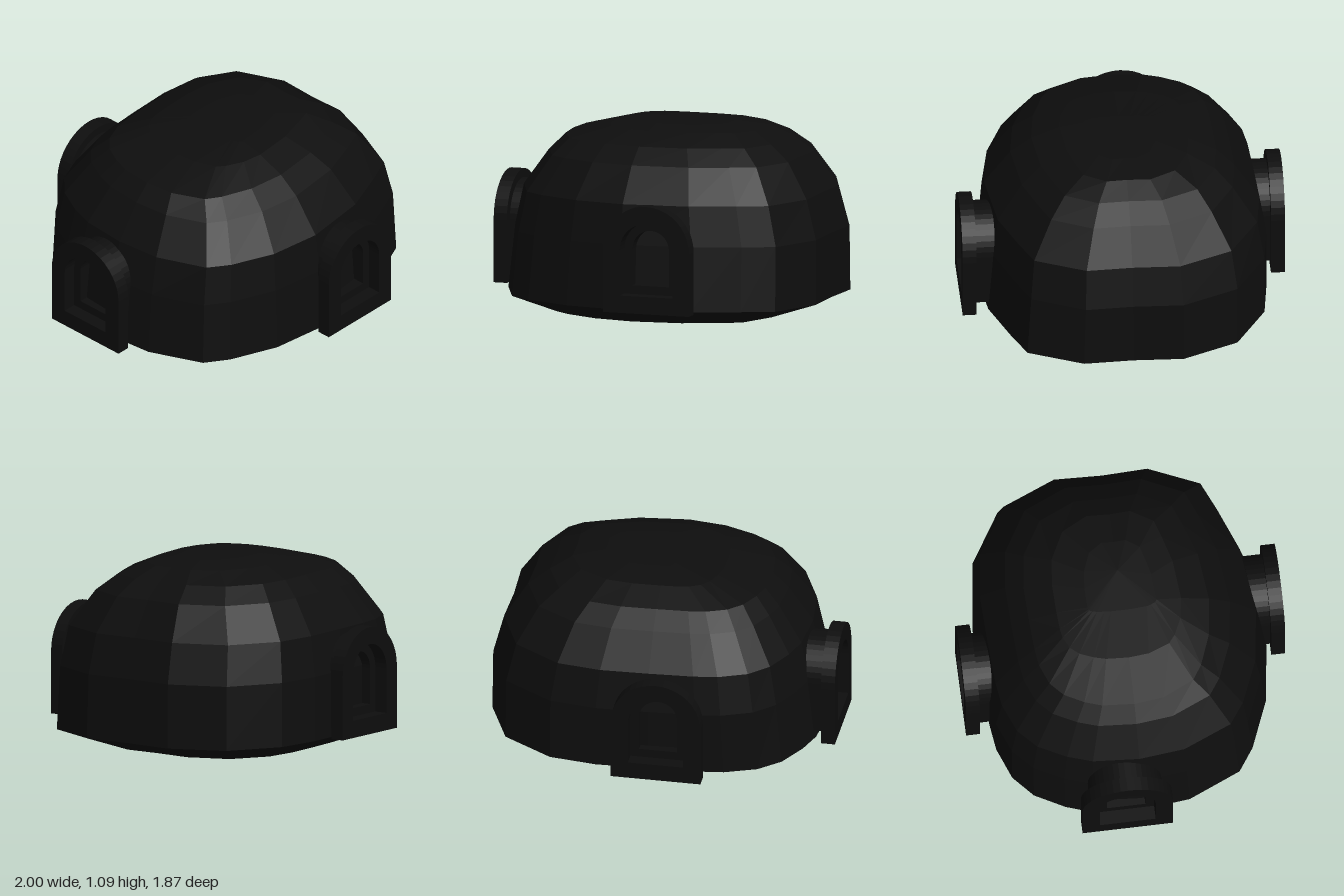
import * as THREE from 'three';

// Plan outline of the dome, anticlockwise seen from above: [x, z]
const OUTLINE = [
  [0.995, -0.29], [0.86, -0.61], [0.57, -0.79], [0.3, -0.825], [0, -0.815], [-0.28, -0.8],
  [-0.43, -0.78], [-0.61, -0.71], [-0.73, -0.6], [-0.82, -0.43], [-0.87, -0.28], [-0.89, 0],
  [-0.86, 0.28], [-0.73, 0.58], [-0.6, 0.67], [-0.33, 0.78], [0, 0.825], [0.41, 0.775],
  [0.68, 0.67], [0.86, 0.59], [0.995, 0.28], [0.985, 0],
];

// Dome levels: [y, -x extent, +x extent, -z extent, +z extent]
const LEVELS = [
  [0, 0.63, 0.7, 0.6, 0.62],
  [0.1, 0.9, 0.995, 0.82, 0.83],
  [0.47, 0.86, 0.99, 0.82, 0.8],
  [0.7, 0.81, 0.93, 0.78, 0.77],
  [0.9, 0.67, 0.8, 0.64, 0.62],
  [0.99, 0.58, 0.68, 0.54, 0.5],
  [1.055, 0.32, 0.56, 0.38, 0.34],
  [1.08, 0.04, 0.38, 0.2, 0.2],
];

function domeGeometry() {
  const n = OUTLINE.length;
  const pos = [];
  const index = [];
  for (const [y, xn, xp, zn, zp] of LEVELS) {
    for (const [x, z] of OUTLINE) {
      pos.push(x > 0 ? (x / 0.995) * xp : (x / 0.89) * xn, y, z > 0 ? (z / 0.825) * zp : (z / 0.825) * zn);
    }
  }
  for (let i = 0; i < LEVELS.length - 1; i++) {
    for (let j = 0; j < n; j++) {
      const a = i * n + j, b = i * n + ((j + 1) % n);
      index.push(a, b, b + n, a, b + n, a + n);
    }
  }
  // Floor and crown fans
  const floor = pos.length / 3, crown = floor + 1, last = (LEVELS.length - 1) * n;
  pos.push(0.03, 0, 0, 0.2, 1.09, 0);
  for (let j = 0; j < n; j++) {
    const k = (j + 1) % n;
    index.push(floor, k, j, crown, last + j, last + k);
  }
  const geo = new THREE.BufferGeometry();
  geo.setAttribute('position', new THREE.Float32BufferAttribute(pos, 3));
  geo.setIndex(index);
  geo.computeVertexNormals();
  return geo;
}

// Round-headed doorway outline, concentric for every radius
function arch(path, r) {
  path.moveTo(-r, 0.36 - r);
  path.lineTo(r, 0.36 - r);
  path.lineTo(r, 0.46);
  path.absarc(0, 0.46, r, 0, Math.PI, false);
  path.closePath();
  return path;
}

function archRing(outer, inner, depth) {
  const shape = arch(new THREE.Shape(), outer);
  shape.holes.push(arch(new THREE.Path(), inner));
  return new THREE.ExtrudeGeometry(shape, { depth, bevelEnabled: false, curveSegments: 10 });
}

export function createModel() {
  const stone = new THREE.MeshStandardMaterial({ color: 0x0e0e0e, flatShading: true });
  stone.name = 'black stone';
  const model = new THREE.Group();
  model.name = 'domedCave';

  const dome = new THREE.Mesh(domeGeometry(), stone);
  dome.name = 'dome';
  model.add(dome);

  // Doorways: a wide stepped frame on a short neck sunk into the dome
  const frameGeo = archRing(0.26, 0.16, 0.08);
  const neckGeo = archRing(0.21, 0.11, 0.16);
  const doorways = [
    ['frontDoorway', 0.2, 0.93, 0],
    ['backDoorway', -0.07, -0.935, Math.PI],
    ['rightDoorway', -1, -0.09, -Math.PI / 2],
  ];
  for (const [name, x, z, turn] of doorways) {
    const door = new THREE.Group();
    door.name = name;
    const frame = new THREE.Mesh(frameGeo, stone);
    frame.name = 'doorFrame';
    frame.position.z = -0.08;
    const neck = new THREE.Mesh(neckGeo, stone);
    neck.name = 'doorNeck';
    neck.position.z = -0.239;
    door.add(frame, neck);
    door.position.set(x, 0, z);
    door.rotation.y = turn;
    model.add(door);
  }
  return model;
}
